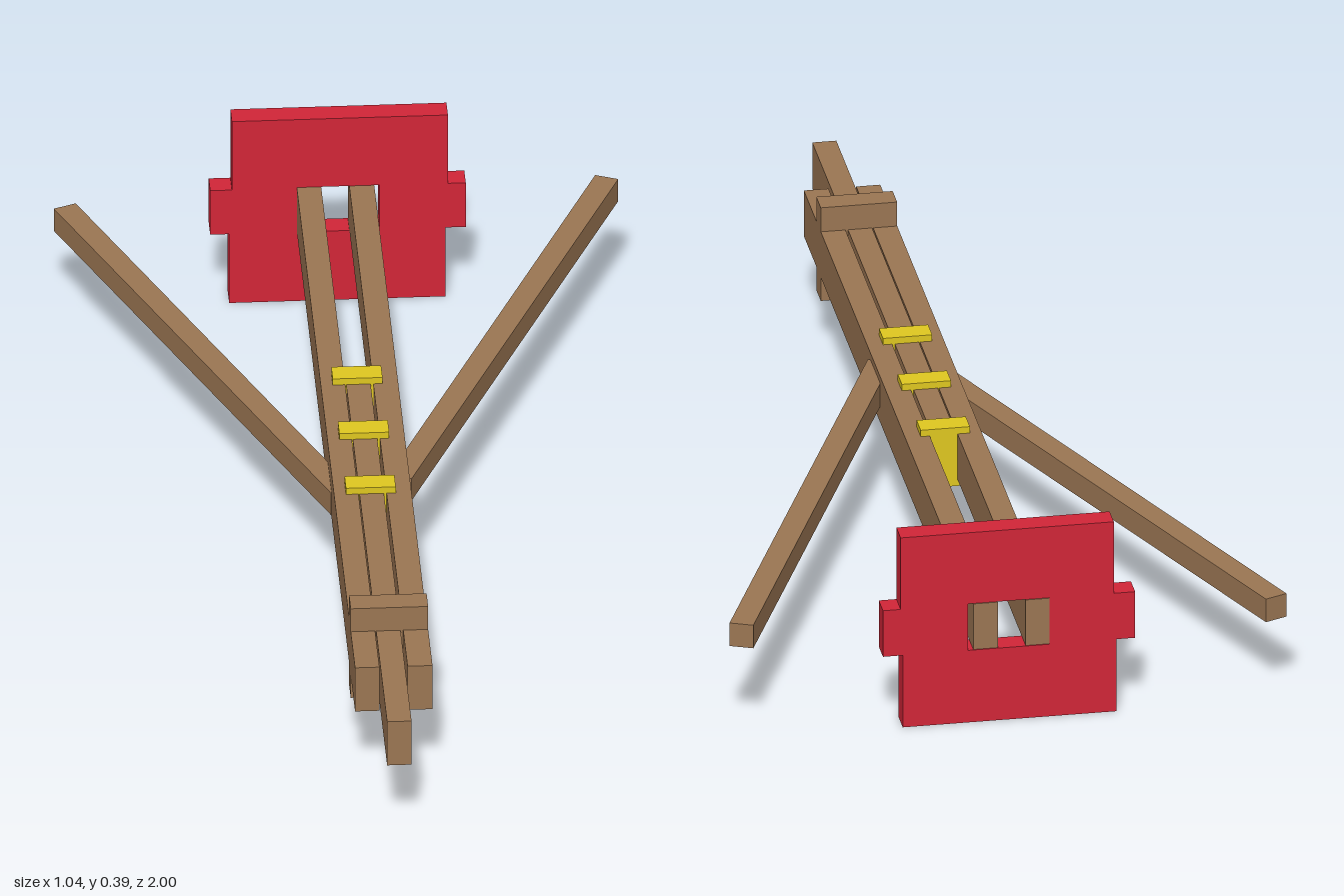
import * as THREE from 'three';

const wood = new THREE.MeshStandardMaterial({ color: 0x9b7653 });
const red = new THREE.MeshStandardMaterial({ color: 0xd22638 });
const yellow = new THREE.MeshStandardMaterial({ color: 0xe0c820 });

// box given by its extents on each axis
function block(name, [x0, x1], [y0, y1], [z0, z1], material) {
  const mesh = new THREE.Mesh(new THREE.BoxGeometry(x1 - x0, y1 - y0, z1 - z0), material);
  mesh.position.set((x0 + x1) / 2, (y0 + y1) / 2, (z0 + z1) / 2);
  mesh.name = name;
  return mesh;
}

// slanted bar between two points of the ground plan
function strut(name, [xa, za], [xb, zb], y) {
  const dx = xb - xa, dz = zb - za;
  const mesh = new THREE.Mesh(new THREE.BoxGeometry(0.045, 0.047, Math.hypot(dx, dz)), wood);
  mesh.position.set((xa + xb) / 2, y, (za + zb) / 2);
  mesh.rotation.y = Math.atan2(dx, dz);
  mesh.name = name;
  return mesh;
}

export function createModel() {
  const model = new THREE.Group();
  model.name = 'timberFrame';

  // two long side beams and the tongue between them
  const beamY = [0.148, 0.241];
  model.add(
    block('rightBeam', [-0.075, -0.03], beamY, [-1, 0.8], wood),
    block('leftBeam', [0.022, 0.068], beamY, [-1, 0.8], wood),
    block('tongue', [-0.028, 0.017], beamY, [-0.25, 1], wood),
    block('crossPeg', [-0.075, 0.068], [0.1, 0.29], [0.62, 0.668], wood),
  );

  // wedges driven through the beams
  for (const z of [0.145, -0.055, -0.255]) {
    model.add(block('wedge', [-0.053, 0.039], [0.135, 0.254], [z - 0.022, z + 0.022], yellow));
  }

  // spreading struts, the right one slightly lower
  model.add(
    strut('leftStrut', [0.052, 0.085], [0.499, -0.983], 0.204),
    strut('rightStrut', [-0.055, 0.085], [-0.502, -0.983], 0.178),
  );

  // rear plate with side tabs and a slot for the beams
  const outline = new THREE.Shape([
    [-0.2, 0], [0.2, 0], [0.2, 0.147], [0.237, 0.147], [0.237, 0.241], [0.204, 0.241],
    [0.204, 0.387], [-0.195, 0.387], [-0.195, 0.241], [-0.235, 0.241], [-0.235, 0.147], [-0.2, 0.147],
  ].map(([x, y]) => new THREE.Vector2(x, y)));
  outline.holes.push(new THREE.Path([
    [-0.075, 0.147], [-0.075, 0.242], [0.078, 0.242], [0.078, 0.147],
  ].map(([x, y]) => new THREE.Vector2(x, y))));
  const plate = new THREE.Mesh(
    new THREE.ExtrudeGeometry(outline, { depth: 0.045, bevelEnabled: false }), red);
  plate.position.z = -1;
  plate.name = 'rearPlate';
  model.add(plate);

  return model;
}
